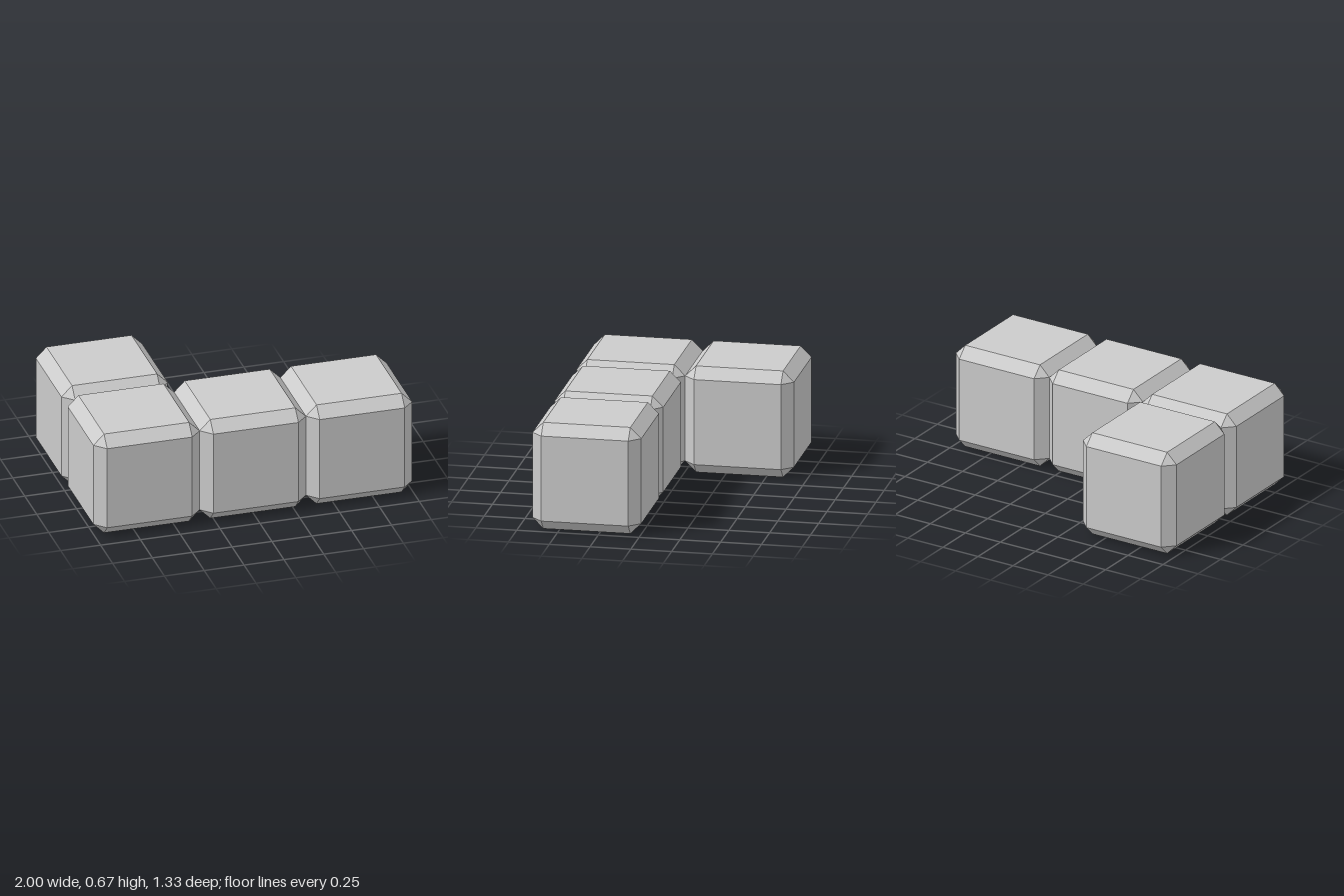
import * as THREE from 'three';
import { ConvexGeometry } from 'three/addons/geometries/ConvexGeometry.js';

const SIZE = 2 / 3;      // edge length of one block
const BEVEL = SIZE / 10; // width of the flat bevel

// Cube with flat bevelled edges and triangular corner facets
function bevelledCube(size, bevel) {
  const h = size / 2, i = h - bevel;
  const points = [];
  for (const x of [-1, 1]) for (const y of [-1, 1]) for (const z of [-1, 1]) {
    points.push(
      new THREE.Vector3(x * h, y * i, z * i),
      new THREE.Vector3(x * i, y * h, z * i),
      new THREE.Vector3(x * i, y * i, z * h),
    );
  }
  return new ConvexGeometry(points);
}

export function createModel() {
  const model = new THREE.Group();
  model.name = 'lShapedBlocks';
  const material = new THREE.MeshStandardMaterial({ color: 0xcccccc, flatShading: true });
  const geometry = bevelledCube(SIZE, BEVEL);

  // Row of three along the front, plus one behind the right end: [name, column, row]
  const blocks = [
    ['rightBlock', -1, 0.5],
    ['middleBlock', 0, 0.5],
    ['leftBlock', 1, 0.5],
    ['backBlock', -1, -0.5],
  ];
  for (const [name, column, row] of blocks) {
    const block = new THREE.Mesh(geometry, material);
    block.name = name;
    block.position.set(column * SIZE, SIZE / 2, row * SIZE);
    model.add(block);
  }
  return model;
}
